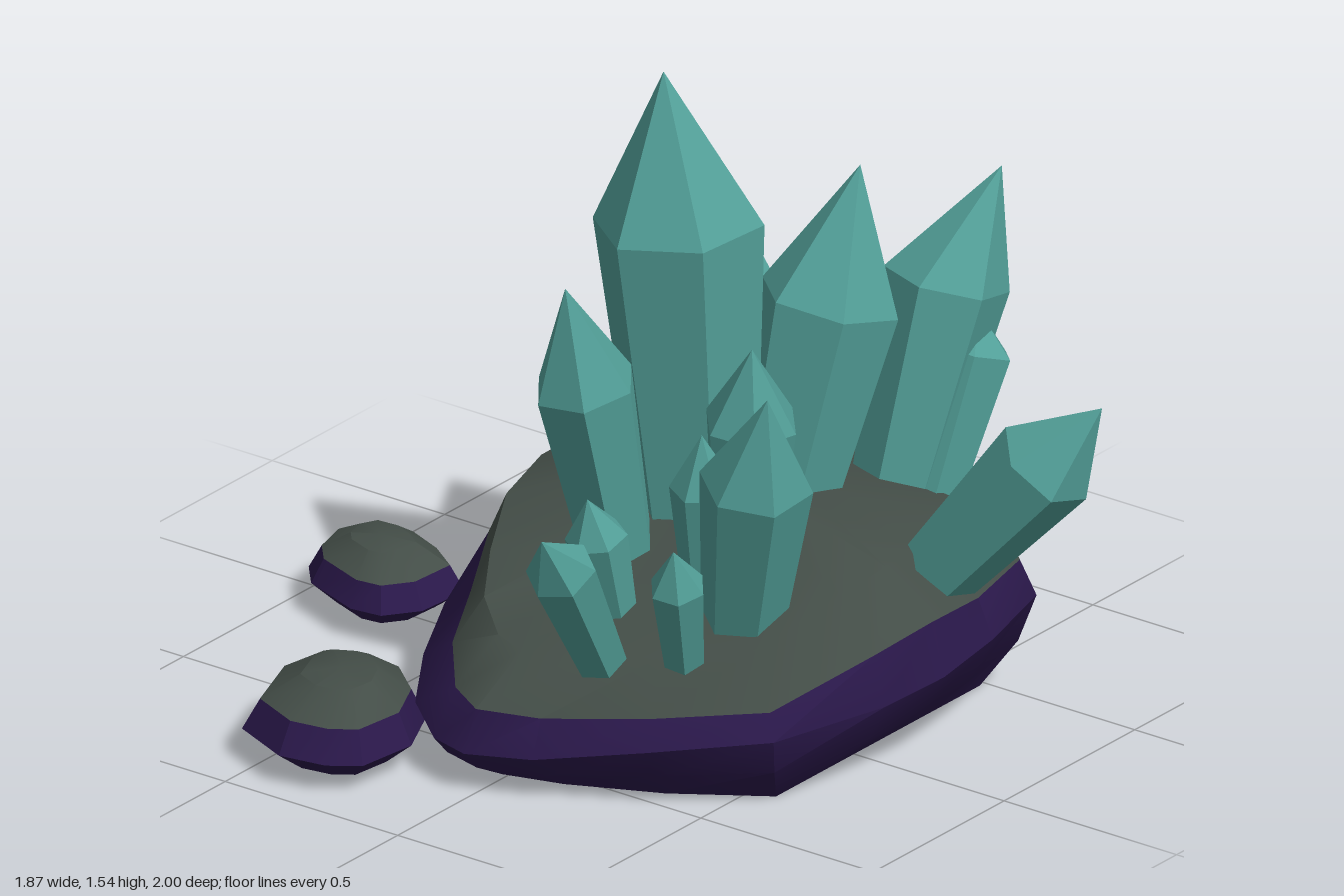
import * as THREE from 'three';
import { toCreasedNormals } from 'three/addons/utils/BufferGeometryUtils.js';

const stone = new THREE.MeshStandardMaterial({ color: 0x2a184a });
const moss = new THREE.MeshStandardMaterial({ color: 0x434d47 });
const crystalMat = new THREE.MeshStandardMaterial({ color: 0x529f98, flatShading: true });

// Stacks closed rings (arrays of [x, y, z], clockwise from above); bands from mossFrom up use the moss material
function loft(name, rings, mossFrom, crease) {
  const n = rings[0].length, index = [];
  for (let k = 0; k < rings.length - 1; k++) {
    for (let i = 0; i < n; i++) {
      const a = k * n + i, b = k * n + (i + 1) % n;
      index.push(a, a + n, b, b, a + n, b + n);
    }
  }
  const geo = new THREE.BufferGeometry();
  geo.setAttribute('position', new THREE.Float32BufferAttribute(rings.flat(2), 3));
  geo.setIndex(index);
  const split = mossFrom * n * 6;
  geo.addGroup(0, split, 0);
  geo.addGroup(split, index.length - split, 1);
  const mesh = new THREE.Mesh(toCreasedNormals(geo, crease), [stone, moss]);
  mesh.name = name;
  return mesh;
}

// Big rock: outline points [x, z, height of widest point, height of shoulder, scale of shoulder]
function baseRock() {
  const cx = 0.1, cz = 0.05;
  const outline = [
    [-0.72, -0.02, 0.1, 0.2], [-0.69, -0.13, 0.1, 0.21, 0.92], [-0.59, -0.26, 0.12, 0.25, 0.87],
    [-0.4, -0.38, 0.14, 0.29, 0.83], [-0.16, -0.5, 0.15, 0.34, 0.83], [0.08, -0.55, 0.16, 0.36, 0.87],
    [0.32, -0.59, 0.17, 0.34], [0.45, -0.55, 0.18, 0.34], [0.63, -0.43, 0.18, 0.33],
    [0.8, -0.25, 0.2, 0.33], [0.87, -0.1, 0.2, 0.32], [0.91, 0.08, 0.2, 0.31],
    [0.86, 0.25, 0.21, 0.31], [0.73, 0.48, 0.22, 0.32], [0.56, 0.67, 0.23, 0.32],
    [0.3, 0.74, 0.23, 0.33], [0.08, 0.765, 0.22, 0.35], [-0.1, 0.73, 0.2, 0.32],
    [-0.38, 0.62, 0.18, 0.24], [-0.55, 0.38, 0.15, 0.22], [-0.67, 0.14, 0.11, 0.2],
  ];
  const ring = (scale, height) => outline.map(([x, z, rim, sh, inset = 0.95]) => {
    const s = scale(inset);
    return [cx + (x - cx) * s, height(rim, sh), cz + (z - cz) * s];
  });
  // Flat underside, cut straight along the front; grow = 1 reaches the widest ring
  const underRing = (grow) => outline.map(([x, z, rim]) => {
    const bx = cx + (x - cx) * 0.83, bz = Math.min(0.565, cz + (z - cz) * 0.91);
    const g = grow * 1.35;
    return [bx + (x - bx) * g, rim * grow, bz + (z - bz) * g];
  });
  return loft('baseRock', [
    ring(() => 0, () => 0),
    underRing(0),
    underRing(0.5),
    ring(() => 1, (rim) => rim),
    ring((inset) => inset, (rim, sh) => sh),
    ring(() => 0.76, (rim, sh) => sh * 1.05 + 0.085),
    ring(() => 0.42, (rim, sh) => sh * 0.9 + 0.2),
    ring(() => 0.2, (rim, sh) => 0.5 * sh + 0.36),
    ring(() => 0, () => 0.55),
  ], 4, 0.6);
}

// Loose stones: flat-bottomed pebbles with a low domed top
function looseStone(name, outline, y0, y1) {
  const n = outline.length, h = y1 - y0;
  const cx = outline.reduce((s, p) => s + p[0], 0) / n;
  const cz = outline.reduce((s, p) => s + p[1], 0) / n;
  const levels = [[0, 0], [0.64, 0], [1, 0.32], [0.82, 0.68], [0.42, 0.95], [0, 1]];
  const rings = levels.map(([s, t]) => outline.map(([x, z]) =>
    [cx + (x - cx) * s, y0 + h * t, cz + (z - cz) * s]));
  return loft(name, rings, 3, 0.45);
}

// Crystal: six-sided, widening from the foot to a shoulder, then an off-axis point
function crystal(foot, shoulder, tip, radius, spin) {
  const start = new THREE.Vector3(...foot);
  const axis = new THREE.Vector3(...shoulder).sub(start), len = axis.length();
  const turn = new THREE.Quaternion().setFromUnitVectors(new THREE.Vector3(0, 1, 0), axis.normalize());
  const apex = new THREE.Vector3(...tip).sub(start).applyQuaternion(turn.clone().invert());
  const profile = [[0, -0.06], [radius * 0.68, -0.06], [radius, len], [0, apex.y]]
    .map(([r, y]) => new THREE.Vector2(r, y));
  const geo = new THREE.LatheGeometry(profile, 6).rotateY(spin).toNonIndexed();
  // Move the point from the axis to the tip
  const p = geo.attributes.position;
  for (let i = 0; i < p.count; i++) {
    if (p.getY(i) > len + 1e-4) p.setXYZ(i, apex.x, apex.y, apex.z);
  }
  geo.computeVertexNormals();
  const mesh = new THREE.Mesh(geo, crystalMat);
  mesh.position.copy(start);
  mesh.quaternion.copy(turn);
  return mesh;
}

export function createModel() {
  const model = new THREE.Group();
  model.name = 'crystalCluster';
  model.add(baseRock());

  model.add(looseStone('looseStoneLeft', [
    [-0.92, -0.27], [-0.94, -0.39], [-0.87, -0.55], [-0.65, -0.63], [-0.5, -0.605],
    [-0.44, -0.49], [-0.46, -0.37], [-0.56, -0.25], [-0.71, -0.18], [-0.87, -0.2],
  ], 0.01, 0.21));
  model.add(looseStone('looseStoneBack', [
    [-0.19, -0.75], [-0.13, -0.91], [-0.06, -0.97], [0.06, -1], [0.16, -0.95],
    [0.17, -0.82], [0.12, -0.7], [0.05, -0.6], [-0.1, -0.61], [-0.18, -0.67],
  ], 0.025, 0.19));
  model.add(looseStone('looseStoneRight', [
    [0.63, -0.45], [0.68, -0.61], [0.79, -0.6], [0.93, -0.5], [0.92, -0.38],
    [0.87, -0.26], [0.79, -0.27], [0.69, -0.34],
  ], 0.025, 0.17));

  // Foot, shoulder centre, tip, shoulder radius, spin
  const crystals = [
    [[0.09, 0.46, 0.04], [0.075, 1.17, 0], [0.07, 1.54, -0.04], 0.205, 1.45],
    [[0.26, 0.42, 0.16], [0.365, 0.93, 0.22], [0.44, 1.25, 0.25], 0.17, 0.3],
    [[0.55, 0.4, 0.27], [0.685, 0.89, 0.315], [0.81, 1.15, 0.38], 0.15, 0.7],
    [[0.58, 0.4, 0.35], [0.695, 0.73, 0.375], [0.72, 0.82, 0.38], 0.105, 0.2],
    [[0.28, 0.44, -0.09], [0.375, 0.9, -0.14], [0.43, 1.15, -0.17], 0.15, 0.5],
    [[-0.13, 0.4, -0.02], [-0.225, 0.85, -0.045], [-0.28, 1.11, -0.06], 0.125, 0.1],
    [[-0.17, 0.33, 0.37], [-0.235, 0.745, 0.46], [-0.285, 0.99, 0.53], 0.135, 0.45],
    [[-0.01, 0.42, 0.26], [-0.05, 0.79, 0.305], [-0.08, 0.99, 0.33], 0.115, 0.2],
    [[-0.12, 0.38, 0.23], [-0.16, 0.65, 0.25], [-0.18, 0.79, 0.26], 0.08, 0.6],
    [[-0.43, 0.26, 0.17], [-0.64, 0.595, 0.2], [-0.74, 0.71, 0.22], 0.085, 0.4],
    [[-0.35, 0.28, 0.34], [-0.425, 0.525, 0.375], [-0.46, 0.63, 0.39], 0.068, 0.15],
    [[-0.29, 0.32, 0.09], [-0.35, 0.545, 0.083], [-0.38, 0.65, 0.08], 0.075, 0.5],
    [[0.25, 0.33, 0.57], [0.325, 0.705, 0.875], [0.375, 0.86, 1], 0.125, 0.35],
  ];
  const cluster = new THREE.Group();
  cluster.name = 'crystals';
  crystals.forEach((c, i) => {
    const mesh = crystal(...c);
    mesh.name = `crystal${i + 1}`;
    cluster.add(mesh);
  });
  model.add(cluster);
  return model;
}
